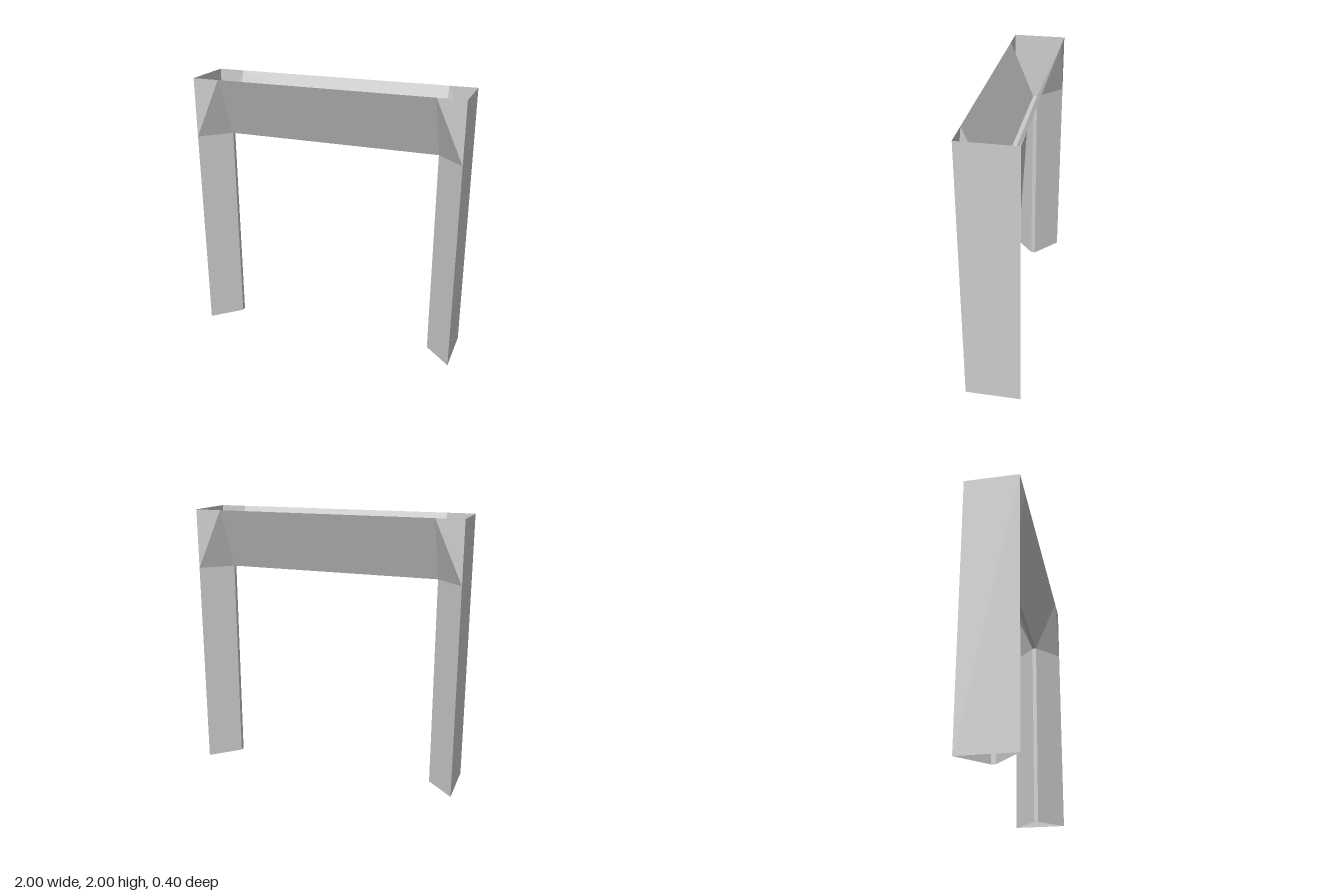
import * as THREE from 'three';

const TOP = 2, BASE = 1.56;      // beam top and underside heights
const OUT = 1, IN = 0.8;         // outer and inner x of the legs
const DEEP = 0.2, SLIM = 0.016;  // half depths of the wide and narrow sides

const material = new THREE.MeshStandardMaterial({
  color: 0xcccccc, flatShading: true, side: THREE.DoubleSide,
});

// Flat convex panel from its corners, counter-clockwise seen from outside
function panel(name, corners) {
  const points = [];
  for (let i = 1; i < corners.length - 1; i++) {
    points.push(...corners[0], ...corners[i], ...corners[i + 1]);
  }
  const geometry = new THREE.BufferGeometry();
  geometry.setAttribute('position', new THREE.Float32BufferAttribute(points, 3));
  geometry.computeVertexNormals();
  const mesh = new THREE.Mesh(geometry, material);
  mesh.name = name;
  return mesh;
}

// Mirror corners in x and/or z, keeping the winding outward
function mirrored(corners, sx, sz) {
  const result = corners.map(([x, y, z]) => [x * sx, y, z * sz]);
  return sx * sz < 0 ? result.reverse() : result;
}

export function createModel() {
  const model = new THREE.Group();
  model.name = 'portalFrame';

  // V-shaped trough beam, open at the top
  const beam = new THREE.Group();
  beam.name = 'beam';
  const slope = [[-IN, BASE, SLIM], [IN, BASE, SLIM], [IN, TOP, DEEP], [-IN, TOP, DEEP]];
  beam.add(panel('beamFront', slope), panel('beamBack', mirrored(slope, 1, -1)));
  const end = IN + 0.01;
  beam.add(panel('beamUnderside', [
    [-end, BASE, -SLIM], [end, BASE, -SLIM], [end, BASE, SLIM], [-end, BASE, SLIM],
  ]));
  model.add(beam);

  // Hollow tapered legs, open at both ends
  for (const sx of [1, -1]) {
    const leg = new THREE.Group();
    leg.name = sx > 0 ? 'leftLeg' : 'rightLeg';
    const add = (name, corners, sz = 1) => leg.add(panel(name, mirrored(corners, sx, sz)));

    add('outerWall', [[OUT, 0, DEEP], [OUT, 0, -DEEP], [OUT, TOP, -DEEP], [OUT, TOP, DEEP]]);
    add('innerWall', [[IN, 0, -SLIM], [IN, 0, SLIM], [IN, BASE, SLIM], [IN, BASE, -SLIM]]);

    // Slanted sides, with folded gussets joining them to the beam
    for (const sz of [1, -1]) {
      add('slantedWall', [[IN, 0, SLIM], [OUT, 0, DEEP], [OUT, BASE, DEEP], [IN, BASE, SLIM]], sz);
      add('innerGusset', [[IN, BASE, SLIM], [OUT, BASE, DEEP], [IN, TOP, DEEP]], sz);
      add('cornerGusset', [[OUT, BASE, DEEP], [OUT, TOP, DEEP], [IN, TOP, DEEP]], sz);
    }
    model.add(leg);
  }
  return model;
}
